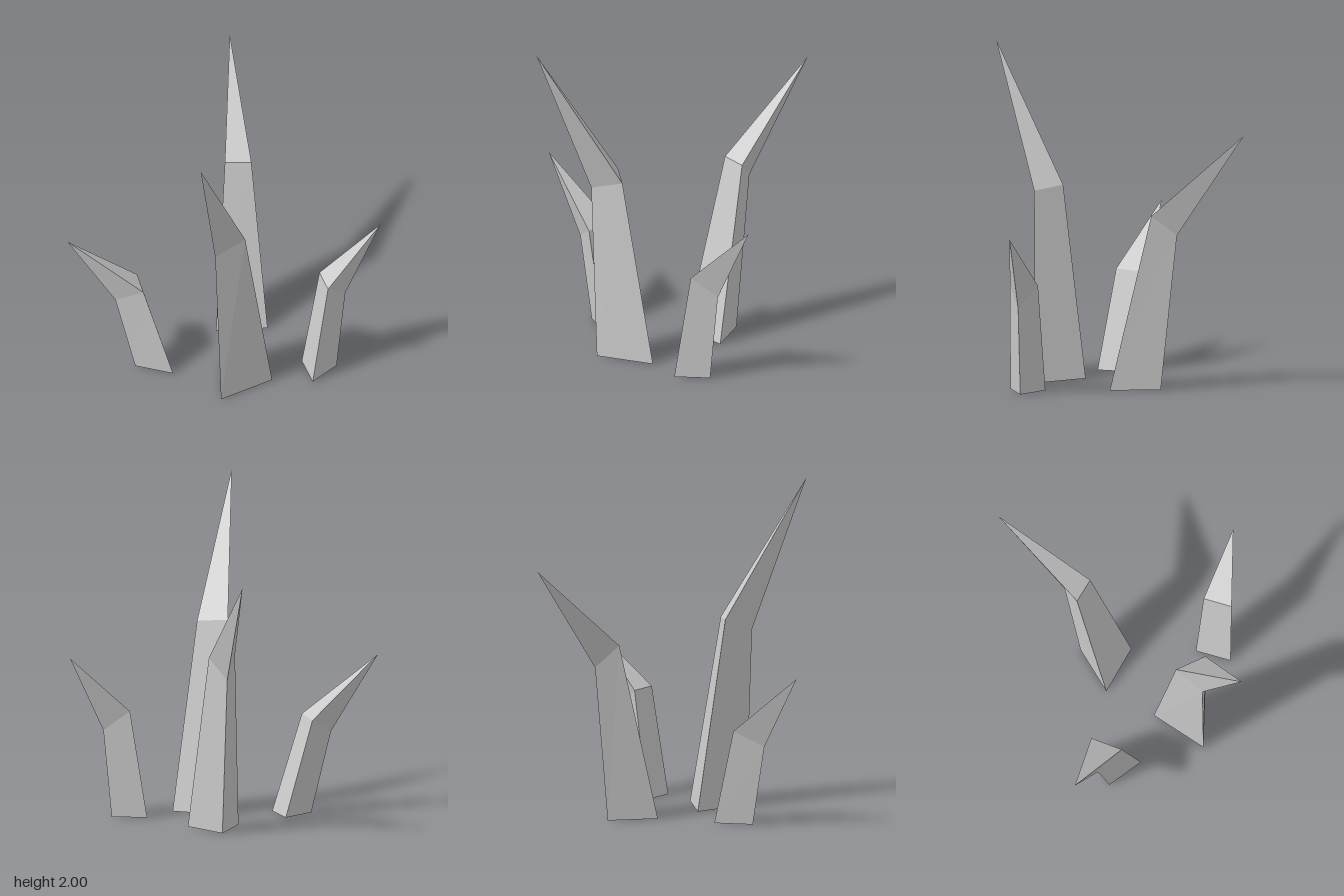
import * as THREE from 'three';

const material = new THREE.MeshStandardMaterial({ color: 0xcccccc, flatShading: true });

// Each blade: a triangle on the ground, a triangle at the bend, and a pointed tip.
// Corners run inner, inner, outer ridge (clockwise seen from above).
const blades = [
  {
    name: 'frontBlade',
    base: [[-0.01, 0, 0.18], [0.34, 0, 0.2], [0.145, 0, 0.51]],
    bend: [[0.04, 1.17, 0.36], [0.24, 1.15, 0.37], [0.12, 1.09, 0.54]],
    tip: [0.19, 2, 0.89],
  },
  {
    name: 'backBlade',
    base: [[0.09, 0, -0.26], [-0.18, 0, -0.1], [-0.18, 0, -0.41]],
    bend: [[-0.1, 1.08, -0.43], [-0.24, 1.09, -0.35], [-0.24, 0.96, -0.5]],
    tip: [-0.47, 1.61, -0.9],
  },
  {
    name: 'leftBlade',
    base: [[0.57, 0, 0.11], [0.42, 0, -0.05], [0.63, 0, -0.1]],
    bend: [[0.63, 0.66, 0.02], [0.51, 0.66, -0.11], [0.67, 0.54, -0.14]],
    tip: [0.83, 1, -0.3],
  },
  {
    name: 'rightBlade',
    base: [[-0.38, 0, 0.21], [-0.23, 0, 0.4], [-0.47, 0, 0.43]],
    bend: [[-0.52, 0.59, 0.3], [-0.4, 0.6, 0.46], [-0.58, 0.5, 0.48]],
    tip: [-0.83, 0.96, 0.63],
  },
];

function makeBlade({ name, base, bend, tip }) {
  const corners = [...base]; // underside
  for (let i = 0; i < 3; i++) {
    const j = (i + 1) % 3;
    corners.push(base[i], bend[i], base[j], base[j], bend[i], bend[j]); // stem side
    corners.push(bend[i], tip, bend[j]); // side of the point
  }
  const geometry = new THREE.BufferGeometry();
  geometry.setAttribute('position', new THREE.Float32BufferAttribute(corners.flat(), 3));
  geometry.computeVertexNormals();
  const mesh = new THREE.Mesh(geometry, material);
  mesh.name = name;
  return mesh;
}

export function createModel() {
  const group = new THREE.Group();
  group.name = 'grassTuft';
  for (const blade of blades) group.add(makeBlade(blade));
  return group;
}
